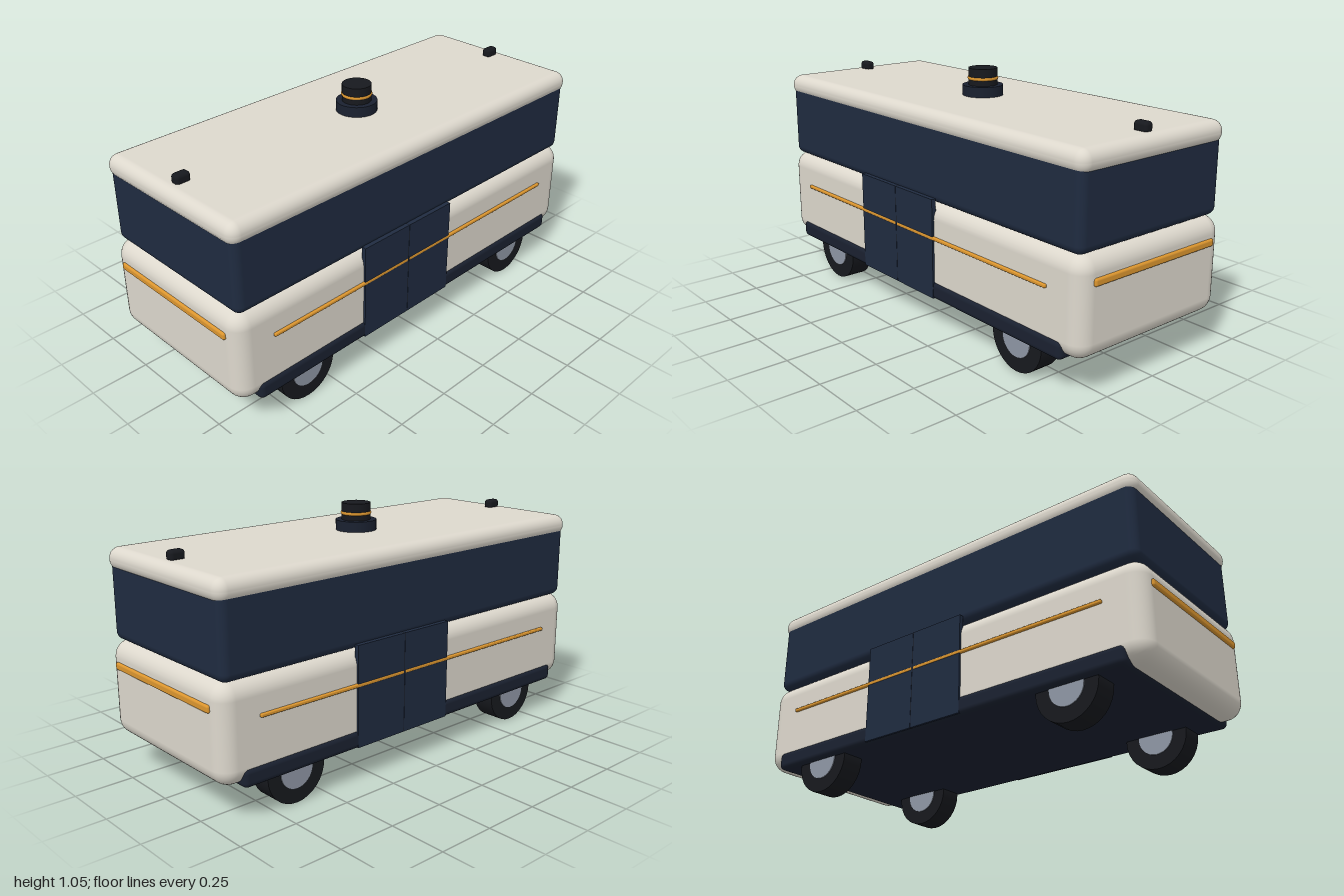
import * as THREE from 'three';
import { RoundedBoxGeometry } from 'three/addons/geometries/RoundedBoxGeometry.js';

const paint = (color) => new THREE.MeshStandardMaterial({ color });

export function createModel() {
  const model = new THREE.Group();
  const cream = paint(0xddd8cd), navy = paint(0x1f2b40), dark = paint(0x17191e);
  const amber = paint(0xdc962f), steel = paint(0x8f97a5), trim = paint(0x1a2130);

  const add = (name, geometry, material, x, y, z, parent = model) => {
    const mesh = new THREE.Mesh(geometry, material);
    mesh.name = name;
    mesh.position.set(x, y, z);
    parent.add(mesh);
    return mesh;
  };
  // Rounded box given by its extents
  const block = (name, material, [x0, x1], [y0, y1], [z0, z1], radius, parent) =>
    add(name, new RoundedBoxGeometry(x1 - x0, y1 - y0, z1 - z0, 4, radius), material,
      (x0 + x1) / 2, (y0 + y1) / 2, (z0 + z1) / 2, parent);

  // Stacked shell: skirt, lower body, window band, roof
  block('skirt', trim, [-0.9, 0.9], [0.145, 0.222], [-0.4, 0.4], 0.022);
  block('lowerBody', cream, [-0.99, 0.99], [0.155, 0.56], [-0.392, 0.392], 0.07);
  block('windowBand', navy, [-0.968, 0.968], [0.555, 0.9], [-0.382, 0.382], 0.035);
  block('roof', cream, [-0.978, 0.978], [0.84, 0.935], [-0.389, 0.389], 0.045);

  // Each half repeats after a half turn: doors, light strips, camera
  for (const turn of [0, Math.PI]) {
    const half = new THREE.Group();
    half.name = turn ? 'backHalf' : 'frontHalf';
    half.rotation.y = turn;
    model.add(half);

    for (const x of [-0.35, -0.094]) {
      add('doorLeaf', new THREE.BoxGeometry(0.253, 0.428, 0.02), navy, x + 0.1265, 0.364, 0.391, half);
    }
    add('doorSeam', new THREE.BoxGeometry(0.006, 0.428, 0.018), dark, -0.0955, 0.364, 0.391, half);
    block('sideLightLeft', amber, [-0.092, 0.82], [0.405, 0.42], [0.388, 0.403], 0.005, half);
    block('sideLightRight', amber, [-0.82, -0.099], [0.405, 0.42], [0.388, 0.403], 0.005, half);
    block('endLight', amber, [0.978, 1], [0.445, 0.476], [-0.328, 0.328], 0.009, half);
    block('roofCamera', dark, [0.863, 0.928], [0.928, 0.971], [-0.021, 0.021], 0.014, half);
  }

  // Wheels with hub discs showing on both faces
  for (const x of [-0.64, 0.64]) {
    for (const z of [-0.32, 0.32]) {
      const wheel = new THREE.Group();
      wheel.name = 'wheel';
      wheel.position.set(x, 0.137, z);
      wheel.rotation.x = Math.PI / 2;
      model.add(wheel);
      add('tyre', new THREE.CylinderGeometry(0.137, 0.137, 0.1, 32), dark, 0, 0, 0, wheel);
      add('hub', new THREE.CylinderGeometry(0.077, 0.077, 0.108, 32), steel, 0, 0, 0, wheel);
    }
  }

  // Roof sensor
  const sensor = new THREE.Group();
  sensor.name = 'roofSensor';
  model.add(sensor);
  add('sensorBase', new THREE.CylinderGeometry(0.087, 0.087, 0.05, 32), trim, 0, 0.954, 0, sensor);
  add('sensorHead', new THREE.CylinderGeometry(0.062, 0.062, 0.075, 32), dark, 0, 1.0135, 0, sensor);
  const ring = add('sensorRing', new THREE.TorusGeometry(0.058, 0.008, 8, 32), amber, 0, 1.008, 0, sensor);
  ring.rotation.x = Math.PI / 2;

  return model;
}
